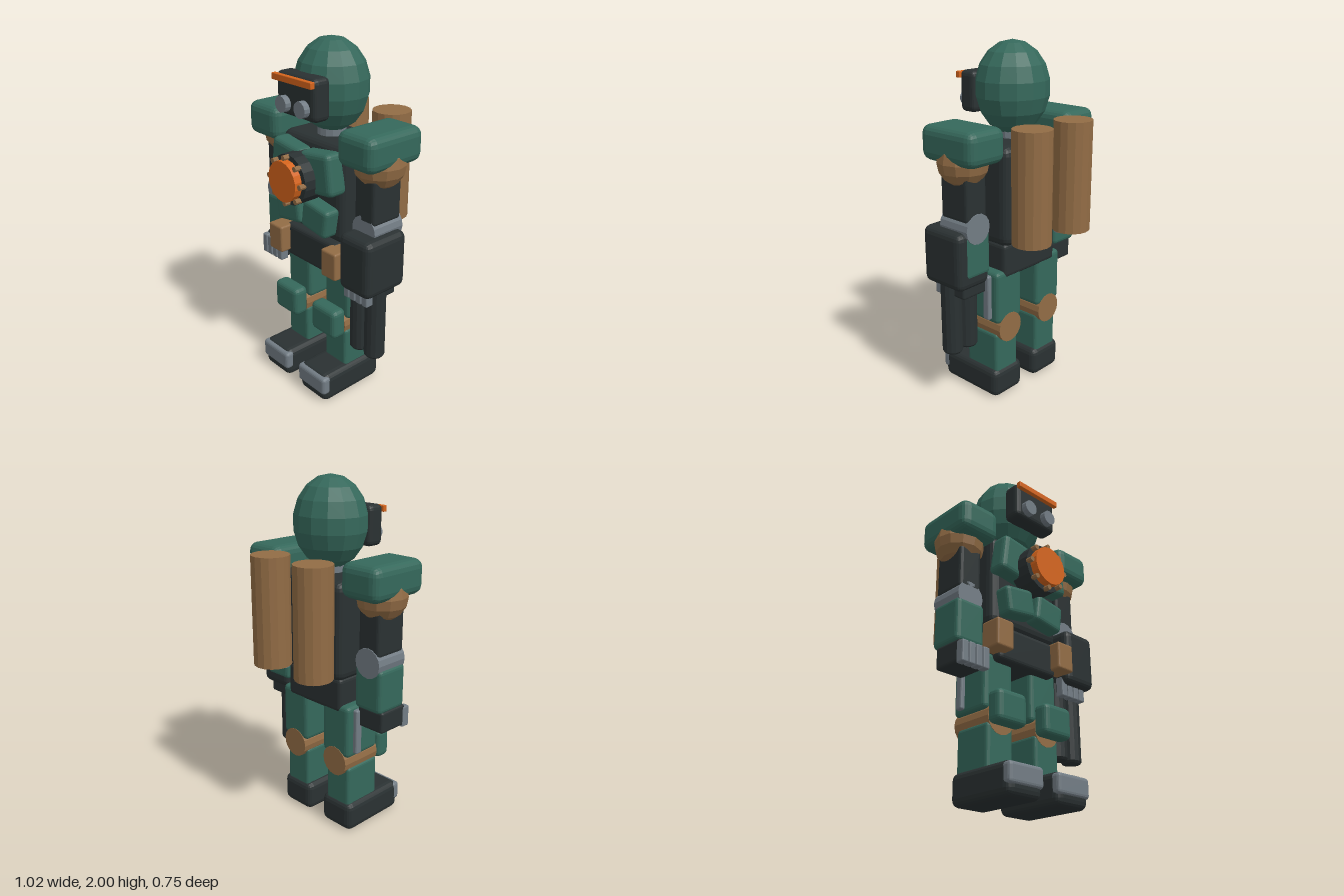
import * as THREE from 'three';
import { RoundedBoxGeometry } from 'three/addons/geometries/RoundedBoxGeometry.js';

const mat = (name, color) => {
  const m = new THREE.MeshStandardMaterial({ color, flatShading: true });
  m.name = name;
  return m;
};

export function createModel() {
  const root = new THREE.Group();
  root.name = 'robot';
  const green = mat('armourGreen', 0x35685b);
  const black = mat('charcoal', 0x2a3132);
  const brown = mat('bronze', 0x926c45);
  const steel = mat('steel', 0x727c84);
  const orange = mat('orange', 0xd4641c);

  const add = (name, geo, material, x = 0, y = 0, z = 0, parent = root) => {
    const m = new THREE.Mesh(geo, material);
    m.name = name;
    m.position.set(x, y, z);
    parent.add(m);
    return m;
  };
  // Bevelled box given by its limits on each axis
  const box = (name, material, [x0, x1], [y0, y1], [z0, z1], bevel = 0.025, parent = root) =>
    add(name, new RoundedBoxGeometry(x1 - x0, y1 - y0, z1 - z0, 2, bevel), material,
      (x0 + x1) / 2, (y0 + y1) / 2, (z0 + z1) / 2, parent);
  // Cylinder lying along z between z0 and z1
  const rodZ = (name, material, r, x, y, z0, z1, sides = 16, parent = root) =>
    add(name, new THREE.CylinderGeometry(r, r, z1 - z0, sides).rotateX(Math.PI / 2), material,
      x, y, (z0 + z1) / 2, parent);
  // Box limits on the x axis, flipped for the other side
  const side = (s, a, b) => (s > 0 ? [a, b] : [-b, -a]);

  // Head and face
  add('head', new THREE.SphereGeometry(1, 14, 9).scale(0.212, 0.25, 0.197), green, 0, 1.75, 0.02);
  add('neck', new THREE.CylinderGeometry(0.08, 0.08, 0.12, 14), steel, 0, 1.5, 0.02);
  box('facePlate', black, [-0.155, 0.155], [1.61, 1.835], [0.16, 0.27], 0.03);
  box('browBar', orange, [-0.155, 0.155], [1.79, 1.825], [0.268, 0.295], 0.004);
  for (const s of [-1, 1]) rodZ('eye', steel, 0.044, s * 0.075, 1.675, 0.25, 0.305, 14);

  // Torso, waist and front plates
  box('torso', black, [-0.25, 0.25], [0.935, 1.485], [-0.165, 0.17], 0.05);
  box('pelvis', black, [-0.21, 0.21], [0.735, 0.935], [-0.115, 0.19]);
  for (const s of [-1, 1]) {
    const chest = box('chestPlate', green, side(s, 0.005, 0.24), [1.22, 1.45], [0.135, 0.255], 0.03);
    chest.rotation.z = s * 0.13;
    const belly = box('bellyPlate', green, side(s, 0.01, 0.21), [0.995, 1.16], [0.15, 0.255], 0.025);
    belly.rotation.z = -s * 0.15;
    box('beltPouch', brown, side(s, 0.17, 0.285), [0.77, 0.93], [0.13, 0.255], 0.012);
  }

  // Chest reactor with a ring of bolts
  rodZ('reactorHousing', black, 0.14, 0, 1.29, 0.2, 0.325, 18);
  rodZ('reactorCore', orange, 0.112, 0, 1.29, 0.31, 0.37, 18);
  for (let i = 0; i < 8; i++) {
    const a = (i * Math.PI) / 4;
    rodZ('reactorBolt', brown, 0.015, 0.127 * Math.cos(a), 1.29 + 0.127 * Math.sin(a), 0.32, 0.358, 8);
  }

  for (const s of [-1, 1]) {
    // Back tanks
    add('backTank', new THREE.CylinderGeometry(0.107, 0.107, 0.615, 16), brown, s * 0.165, 1.283, -0.268);
    add('tankNozzle', new THREE.CylinderGeometry(0.035, 0.035, 0.06, 10), steel, s * 0.165, 0.967, -0.19);

    // Arm
    const arm = new THREE.Group();
    arm.name = s > 0 ? 'leftArm' : 'rightArm';
    root.add(arm);
    box('shoulderPad', green, side(s, 0.24, 0.497), [1.41, 1.6], [-0.165, 0.218], 0.05, arm);
    add('shoulderBall', new THREE.SphereGeometry(0.14, 12, 8), brown, s * 0.37, 1.415, 0.025, arm);
    box('upperArm', black, side(s, 0.295, 0.44), [1.1, 1.36], [-0.07, 0.13], 0.02, arm);
    rodZ('elbow', steel, 0.084, s * 0.367, 1.062, -0.075, 0.13, 16, arm);
    box('forearm', green, side(s, 0.27, 0.455), [0.785, 1.035], [-0.068, 0.135], 0.025, arm);
    box('hand', black, side(s, 0.275, 0.45), [0.665, 0.79], [-0.04, 0.15], 0.015, arm);
    for (let i = 0; i < 4; i++) {
      const x = 0.293 + i * 0.0465;
      box('finger', steel, side(s, x - 0.021, x + 0.021), [0.655, 0.775], [0.13, 0.182], 0.008, arm);
    }

    // Leg
    const leg = new THREE.Group();
    leg.name = s > 0 ? 'leftLeg' : 'rightLeg';
    root.add(leg);
    box('thigh', green, side(s, 0.065, 0.265), [0.47, 0.78], [-0.11, 0.135], 0.025, leg);
    box('thighBar', steel, side(s, 0.255, 0.29), [0.495, 0.76], [-0.065, -0.02], 0.01, leg);
    rodZ('kneeJoint', brown, 0.088, s * 0.165, 0.43, -0.113, 0.15, 16, leg);
    box('kneePad', green, side(s, 0.065, 0.265), [0.38, 0.555], [0.15, 0.245], 0.03, leg);
    box('shin', green, side(s, 0.08, 0.255), [0.14, 0.4], [-0.09, 0.148], 0.02, leg);
    box('foot', black, side(s, 0.05, 0.28), [0, 0.175], [-0.105, 0.325], 0.04, leg);
    box('toeCap', steel, side(s, 0.05, 0.28), [0.055, 0.165], [0.275, 0.335], 0.02, leg);
  }

  // Twin-barrel cannon on the left forearm
  box('cannonBody', black, [0.272, 0.5], [0.725, 1.052], [-0.065, 0.225], 0.04);
  const barrel = [[0, 0], [0.05, 0], [0.058, 0.012], [0.058, 0.43], [0, 0.43]].map(p => new THREE.Vector2(...p));
  for (const x of [0.312, 0.425]) add('cannonBarrel', new THREE.LatheGeometry(barrel, 14), black, x, 0.31, 0.087);

  return root;
}
